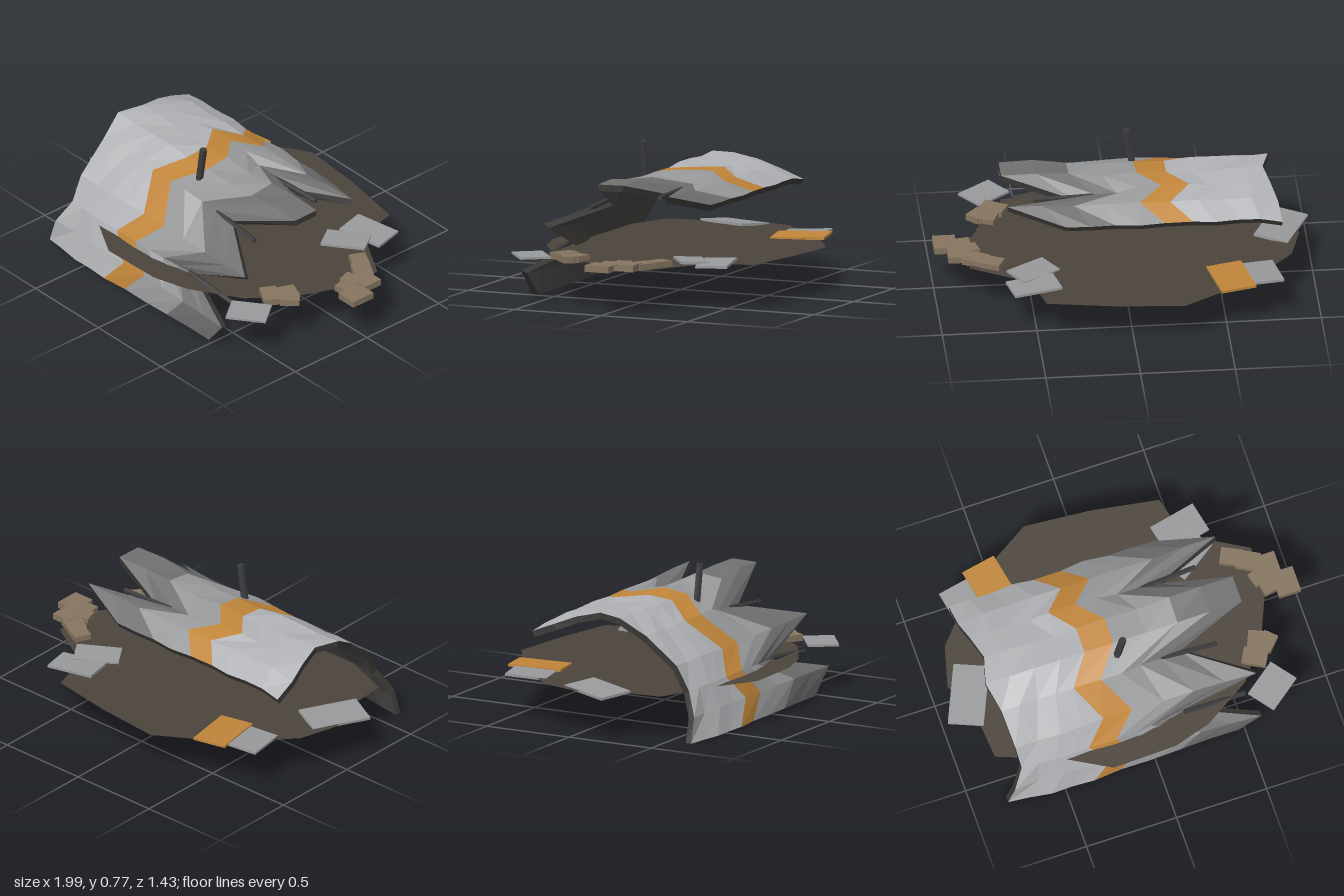
import * as THREE from 'three';

const mat = (color, side = THREE.FrontSide) =>
  new THREE.MeshStandardMaterial({ color, flatShading: true, side });

const hash = (i, j) => {
  const s = Math.sin(i * 127.1 + j * 311.7) * 43758.5453;
  return (s - Math.floor(s)) * 2 - 1;
};

// Hull rows from the front foot over the crown to the back edge:
// [z, y, x of left end, x of right end, 1 for a tooth or 0 for a notch]
const ROWS = [
  [0.65, 0.0, -0.81, 0.47, 0],
  [0.62, 0.13, -0.77, 0.59, 1],
  [0.57, 0.26, -0.71, 0.21, 0],
  [0.49, 0.385, -0.72, 0.61, 1],
  [0.325, 0.535, -0.74, 0.26, 0],
  [0.18, 0.615, -0.78, 0.64, 1],
  [0.04, 0.615, -0.74, 0.64, 1],
  [-0.09, 0.6, -0.77, 0.27, 0],
  [-0.21, 0.575, -0.8, 0.63, 1],
  [-0.325, 0.515, -0.81, 0.33, 0],
];
const COLS = 9, STRIPE = 4; // cells along x, index of the painted cell

// x along one row: plain left part, zigzag stripe, torn right part
function columnX(row, c) {
  const [, , left, right, tooth] = row;
  const s0 = tooth ? -0.23 : -0.34, s1 = tooth ? -0.07 : -0.19;
  if (c <= STRIPE) return left + (s0 - left) * (c / STRIPE);
  return s1 + (right - s1) * ((c - STRIPE - 1) / (COLS - STRIPE - 1));
}

// Outer and inner hull points with dents and inward-folded notches
function hullPoints() {
  const outer = [], inner = [];
  ROWS.forEach((row, r) => {
    const a = ROWS[Math.max(r - 1, 0)], b = ROWS[Math.min(r + 1, ROWS.length - 1)];
    const n = new THREE.Vector3(0, -(b[0] - a[0]), b[1] - a[1]).normalize();
    outer.push([]);
    inner.push([]);
    for (let c = 0; c <= COLS; c++) {
      const p = new THREE.Vector3(columnX(row, c), row[1], row[0]);
      const edge = r === 0 || r === ROWS.length - 1;
      if (!edge) {
        let push = 0.012 * hash(c, r);
        if (!row[4] && c > 6) push -= 0.02 * (c - 6);
        if (row[4] && c > 6) push += 0.008 * (c - 6);
        p.addScaledVector(n, push);
      } else {
        p.z += 0.018 * hash(c, r);
      }
      if (c === 0 && r > 7) p.y -= 0.02;
      const q = p.clone().addScaledVector(n, -0.035);
      q.y = Math.max(q.y, 0);
      outer[r].push(p);
      inner[r].push(q);
    }
  });
  return { outer, inner };
}

function quadMesh(name, quads, material) {
  const pos = [];
  quads.forEach(([a, b, c, d]) =>
    [a, b, c, a, c, d].forEach((p) => pos.push(p.x, p.y, p.z)));
  const g = new THREE.BufferGeometry();
  g.setAttribute('position', new THREE.Float32BufferAttribute(pos, 3));
  g.computeVertexNormals();
  const m = new THREE.Mesh(g, material);
  m.name = name;
  return m;
}

function cells(grid, c0, c1, flip = false) {
  const out = [];
  for (let r = 0; r < ROWS.length - 1; r++)
    for (let c = c0; c < c1; c++) {
      const q = [grid[r][c], grid[r][c + 1], grid[r + 1][c + 1], grid[r + 1][c]];
      out.push(flip ? q.reverse() : q);
    }
  return out;
}

function buildHull() {
  const hull = new THREE.Group();
  hull.name = 'hullShell';
  const { outer, inner } = hullPoints();
  hull.add(quadMesh('hullPlating', cells(outer, 0, STRIPE), mat(0xb0b2b5)));
  hull.add(quadMesh('paintedStripe', cells(outer, STRIPE, STRIPE + 1), mat(0xc0853a)));
  hull.add(quadMesh('scorchedPlating', cells(outer, STRIPE + 1, 7), mat(0x98999b)));
  hull.add(quadMesh('charredTeeth', cells(outer, 7, COLS), mat(0x707071)));
  hull.add(quadMesh('hullLining', cells(inner, 0, COLS, true), mat(0x44423f)));

  // Rim closing the shell thickness, walked once around the border
  const R = ROWS.length - 1, loop = [];
  for (let c = 0; c < COLS; c++) loop.push([0, c]);
  for (let r = 0; r < R; r++) loop.push([r, COLS]);
  for (let c = COLS; c > 0; c--) loop.push([R, c]);
  for (let r = R; r > 0; r--) loop.push([r, 0]);
  const rim = loop.map(([r, c], i) => {
    const [r2, c2] = loop[(i + 1) % loop.length];
    return [outer[r][c], inner[r][c], inner[r2][c2], outer[r2][c2]];
  });
  hull.add(quadMesh('hullRim', rim, mat(0x3a3835)));
  return hull;
}

// Cylinder between two points
function rod(name, a, b, radius, sides, material) {
  const p = new THREE.Vector3(...a), q = new THREE.Vector3(...b);
  const d = q.clone().sub(p);
  const m = new THREE.Mesh(new THREE.CylinderGeometry(radius, radius, d.length(), sides), material);
  m.position.copy(p).add(q).multiplyScalar(0.5);
  m.quaternion.setFromUnitVectors(new THREE.Vector3(0, 1, 0), d.normalize());
  m.name = name;
  return m;
}

function block(name, [x, y, z], [w, h, d], [rx, ry, rz], material) {
  const m = new THREE.Mesh(new THREE.BoxGeometry(w, h, d), material);
  m.position.set(x, y, z);
  m.rotation.set(rx, ry, rz, 'YXZ');
  m.name = name;
  return m;
}

export function createModel() {
  const model = new THREE.Group();
  model.name = 'wreckedHull';
  model.add(buildHull());

  // Scorched ground patch, outline in x and z
  const outline = [
    [-0.26, -0.72], [0.1, -0.69], [0.46, -0.63], [0.52, -0.4], [0.83, -0.22], [0.81, 0.06],
    [0.72, 0.27], [0.56, 0.48], [0.3, 0.64], [0.1, 0.7], [-0.25, 0.71], [-0.48, 0.58],
    [-0.82, 0.45], [-0.84, 0.22], [-0.93, 0], [-0.87, -0.22], [-0.62, -0.5],
  ].map(([x, z]) => new THREE.Vector2(x, -z));
  const ground = new THREE.Mesh(
    new THREE.ShapeGeometry(new THREE.Shape(outline)), mat(0x4b443b, THREE.DoubleSide));
  ground.rotation.x = -Math.PI / 2;
  ground.position.y = 0.235;
  ground.name = 'scorchedGround';
  model.add(ground);

  // Antenna stub and broken frame bars in the notches
  const dark = mat(0x3b3b3d);
  model.add(rod('antenna', [-0.075, 0.53, 0.235], [-0.037, 0.77, 0.235], 0.02, 6, dark));
  [
    [[0.2, 0.25, 0.54], [0.54, 0.215, 0.53]],
    [[0.15, 0.5, 0.3], [0.46, 0.475, 0.31]],
    [[0.15, 0.56, -0.08], [0.48, 0.56, -0.1]],
  ].forEach(([a, b]) => model.add(rod('frameBar', a, b, 0.014, 5, dark)));

  // Torn plates lying around
  const plate = mat(0x98999b);
  [
    [[-0.68, 0.237, -0.41], [0.21, 0.014, 0.23], [0.04, 0.19, 0.03]],
    [[-0.84, 0.237, 0.08], [0.19, 0.014, 0.33], [0.03, -0.42, 0.08]],
    [[0.51, 0.24, -0.44], [0.26, 0.014, 0.17], [0.03, 0.22, -0.03]],
    [[0.5, 0.243, -0.29], [0.24, 0.014, 0.15], [-0.04, 0.6, 0.03]],
    [[0.685, 0.242, 0.55], [0.215, 0.012, 0.165], [0, 0.65, 0]],
  ].forEach(([p, s, r]) => model.add(block('loosePlate', p, s, r, plate)));
  model.add(block('paintedPlate', [-0.53, 0.243, -0.45], [0.19, 0.014, 0.29],
    [0.03, 0.2, -0.03], mat(0xc0853a)));

  // Rubble, x, z, width, depth, turn
  const stone = mat(0x85745f);
  [
    [0.71, -0.2, 0.11, 0.09, -0.45], [0.79, -0.15, 0.12, 0.1, -0.5],
    [0.88, -0.1, 0.11, 0.11, 0], [0.82, -0.05, 0.1, 0.08, 0.3],
    [0.94, 0.025, 0.12, 0.14, 0], [0.86, 0.01, 0.11, 0.09, 0.15],
    [0.65, 0.37, 0.13, 0.09, -0.5], [0.69, 0.3, 0.11, 0.13, -0.4],
    [0.74, 0.31, 0.08, 0.1, -0.75],
  ].forEach(([x, z, w, d, ry], i) => model.add(
    block('rubble', [x, 0.247 + 0.003 * hash(i, 3), z], [w, 0.035, d], [0, ry, 0], stone)));

  return model;
}
